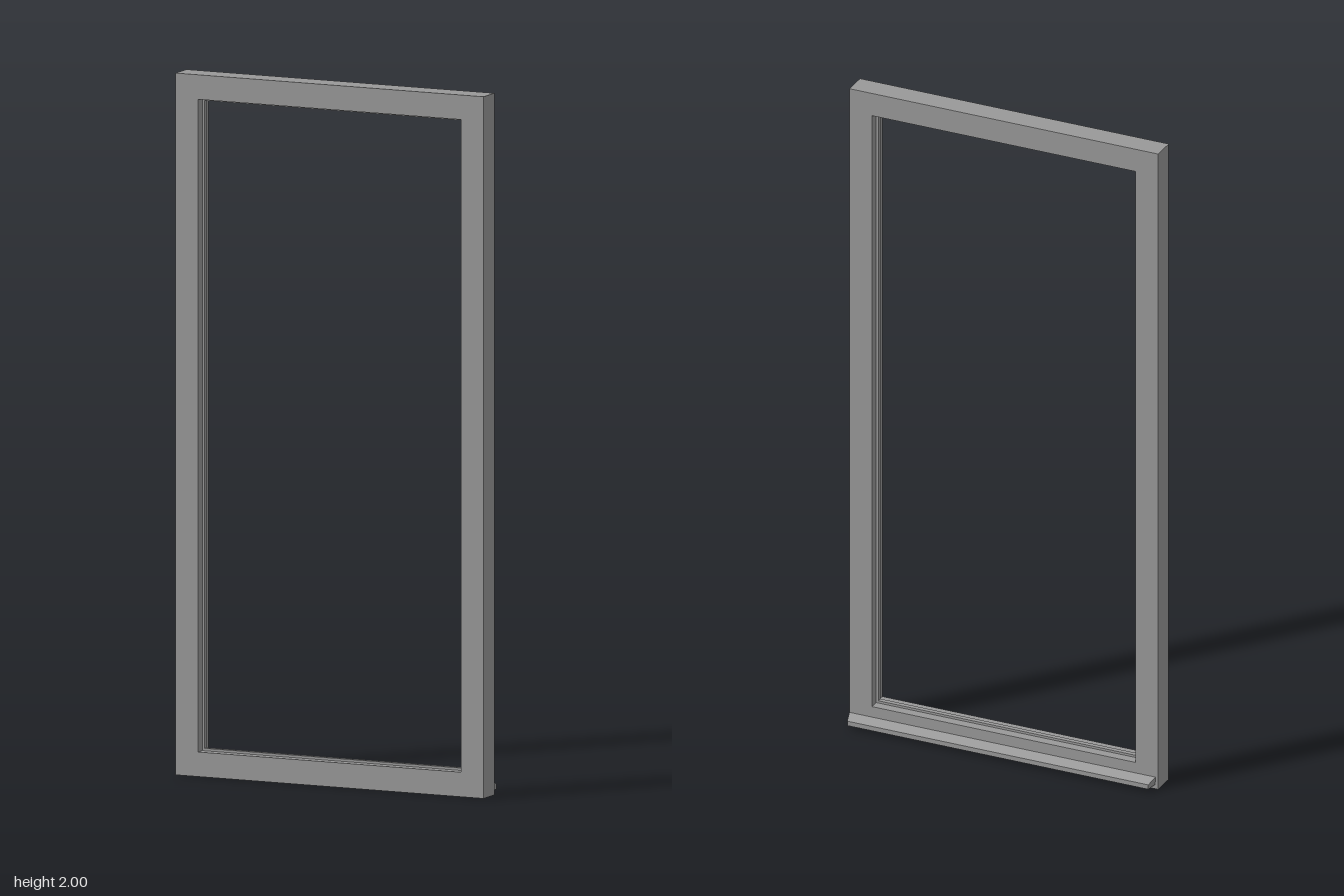
import * as THREE from 'three';

const material = new THREE.MeshStandardMaterial({ color: 0x999999, flatShading: true });

// Sweep a closed [inset, z] profile round a rectangle, with mitred corners
function mitredFrame(halfWidth, height, profile) {
  const corners = [[-1, 0], [1, 0], [1, 1], [-1, 1]];
  const point = ([inset, z], [sx, top]) =>
    [sx * (halfWidth - inset), top ? height - inset : inset, z];
  const positions = [];
  profile.forEach((p, i) => {
    const q = profile[(i + 1) % profile.length];
    corners.forEach((c, k) => {
      const d = corners[(k + 1) % 4];
      const [a, b, e, f] = [point(p, c), point(p, d), point(q, d), point(q, c)];
      positions.push(...a, ...b, ...e, ...a, ...e, ...f);
    });
  });
  const geometry = new THREE.BufferGeometry();
  geometry.setAttribute('position', new THREE.Float32BufferAttribute(positions, 3));
  geometry.computeVertexNormals();
  return geometry;
}

// Weather bar: cross-section in (-z, y) run along x, with ends cut back at a slant
function weatherBar(left, right) {
  const shape = new THREE.Shape([
    [0.015, 0.014], [0.051, 0.011], [0.051, 0.025], [0.02, 0.037], [0.015, 0.037],
  ].map(([x, y]) => new THREE.Vector2(x, y)));
  const geometry = new THREE.ExtrudeGeometry(shape, { depth: right - left, bevelEnabled: false });
  geometry.rotateY(Math.PI / 2).translate(left, 0, 0);
  const pos = geometry.attributes.position;
  const middle = (left + right) / 2;
  for (let i = 0; i < pos.count; i++) {
    const cut = Math.max(0, -pos.getZ(i) - 0.02) * 0.26;
    const x = pos.getX(i);
    pos.setX(i, x < middle ? x + cut : x - cut);
  }
  geometry.computeVertexNormals();
  return geometry;
}

export function createModel() {
  const group = new THREE.Group();
  group.name = 'windowFrame';
  const add = (name, geometry) => {
    const mesh = new THREE.Mesh(geometry, material);
    mesh.name = name;
    group.add(mesh);
  };

  // Frame with a small raised stop bead round the inside of the opening
  add('frame', mitredFrame(0.48, 2, [
    [0, -0.02], [0, 0.05], [0.07, 0.05], [0.07, 0.022],
    [0.077, 0.022], [0.077, 0.008], [0.07, 0.008], [0.07, -0.02],
  ]));

  // Sloping drip bar along the foot of the back
  add('weatherBar', weatherBar(-0.472, 0.48));
  return group;
}
